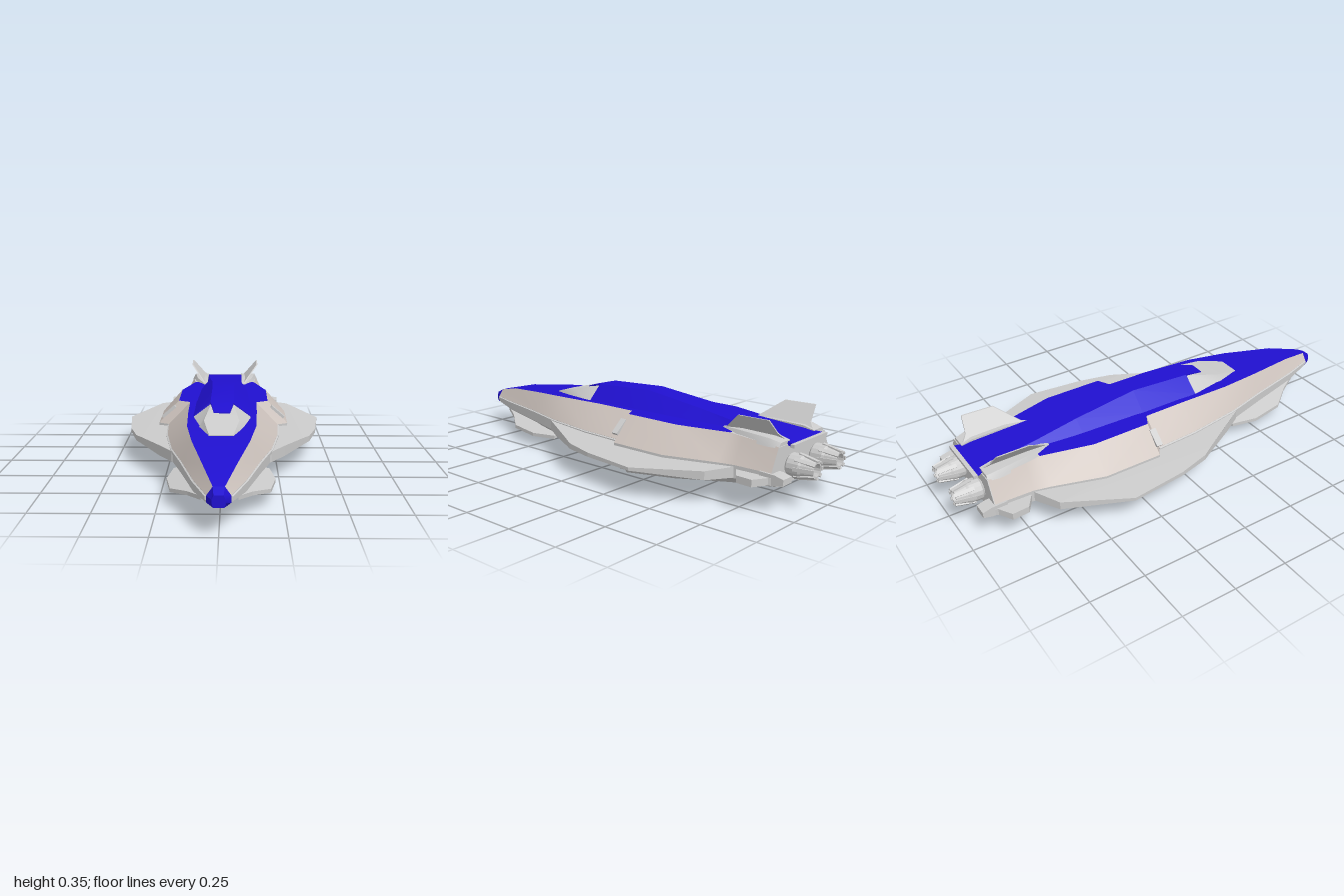
import * as THREE from 'three';
import { toCreasedNormals } from 'three/addons/utils/BufferGeometryUtils.js';

const mat = (color, flatShading = false) =>
  new THREE.MeshStandardMaterial({ color, flatShading, side: THREE.DoubleSide });

// Joins cross-sections (front to back, points counter-clockwise seen from the front)
function loft(rows, { closed = false, caps = false } = {}) {
  const pos = [];
  const tri = (...pts) => pts.forEach((p) => pos.push(...p));
  for (let i = 0; i < rows.length - 1; i++) {
    const n = rows[i].length;
    for (let j = 0; j < (closed ? n : n - 1); j++) {
      const k = (j + 1) % n;
      const a = rows[i][j], b = rows[i][k], c = rows[i + 1][j], d = rows[i + 1][k];
      tri(a, c, b);
      tri(b, c, d);
    }
  }
  if (caps) {
    const f = rows[0], e = rows[rows.length - 1];
    for (let j = 1; j < f.length - 1; j++) {
      tri(f[0], f[j], f[j + 1]);
      tri(e[0], e[j + 1], e[j]);
    }
  }
  const g = new THREE.BufferGeometry();
  g.setAttribute('position', new THREE.Float32BufferAttribute(pos, 3));
  return toCreasedNormals(g, 0.45);
}

// Four-cornered section, symmetric about x = 0
const trapezoid = ([z, bw, by, tw, ty]) => [[-bw, by, z], [bw, by, z], [tw, ty, z], [-tw, ty, z]];

// Thin plate from an outline, then each vertex is moved by a rule
function plate(points, rule, upright = false) {
  const shape = new THREE.Shape(points.map((p) => new THREE.Vector2(...p)));
  const g = new THREE.ExtrudeGeometry(shape, { depth: 1, bevelEnabled: false });
  const p = g.attributes.position;
  for (let i = 0; i < p.count; i++) p.setXYZ(i, ...rule(p.getX(i), p.getY(i), p.getZ(i) - 0.5));
  // both rules below swap axes, so reverse triangles where the swap mirrors the plate
  if (!upright) {
    for (let i = 0; i < p.count; i += 3) {
      const a = new THREE.Vector3().fromBufferAttribute(p, i + 1);
      const b = new THREE.Vector3().fromBufferAttribute(p, i + 2);
      p.setXYZ(i + 1, b.x, b.y, b.z);
      p.setXYZ(i + 2, a.x, a.y, a.z);
    }
  }
  g.computeVertexNormals();
  return g;
}

export function createModel() {
  const model = new THREE.Group();
  const grey = mat(0xcccccc), flatGrey = mat(0xcccccc, true);
  const tan = mat(0xcfc5bf), blue = mat(0x2010d0);
  const add = (name, geometry, material, parent = model) => {
    const m = new THREE.Mesh(geometry, material);
    m.name = name;
    parent.add(m);
    return m;
  };

  // Hull stations: z, half width, deck half width, deck y, keel half width, keel y, band low y, band high y
  const hull = [
    [0.96, 0.045, 0.022, 0.178, 0.03, 0.106, 0.118, 0.145],
    [0.8, 0.1, 0.065, 0.215, 0.055, 0.085, 0.108, 0.152],
    [0.55, 0.16, 0.118, 0.24, 0.09, 0.055, 0.103, 0.155],
    [0.35, 0.213, 0.147, 0.253, 0.13, 0.025, 0.1, 0.155],
    [0.1, 0.25, 0.155, 0.262, 0.165, 0.002, 0.096, 0.155],
    [-0.1, 0.26, 0.157, 0.263, 0.18, 0, 0.095, 0.155],
    [-0.13, 0.308, 0.212, 0.264, 0.225, 0, 0.095, 0.155],
    [-0.4, 0.308, 0.212, 0.264, 0.225, 0.033, 0.095, 0.155],
    [-0.63, 0.238, 0.155, 0.262, 0.19, 0.062, 0.098, 0.155],
    [-0.7, 0.222, 0.165, 0.26, 0.18, 0.07, 0.1, 0.155],
    [-0.87, 0.216, 0.17, 0.25, 0.175, 0.09, 0.11, 0.155],
  ];
  add('lowerHull', loft(hull.map(([z, w, , , kw, ky, lo, hi]) =>
    [[-w, hi, z], [-w, lo, z], [-kw, ky, z], [kw, ky, z], [w, lo, z], [w, hi, z]])), grey);
  const deck = hull.map(([z, , tw, ty]) => [[tw, ty, z], [-tw, ty, z]]);
  add('deck', loft(deck.slice(0, 9)), blue);
  add('rearDeck', loft(deck.slice(8)), grey);
  const outline = ([z, w, tw, ty, kw, ky, lo, hi]) =>
    [[-w, hi, z], [-w, lo, z], [-kw, ky, z], [kw, ky, z], [w, lo, z], [w, hi, z], [tw, ty, z], [-tw, ty, z]];
  const tip = [[-0.025, 0.14], [-0.025, 0.128], [-0.02, 0.112], [0.02, 0.112],
    [0.025, 0.128], [0.025, 0.14], [0.018, 0.158], [-0.018, 0.158]].map(([x, y]) => [x, y, 1]);
  add('noseCap', loft([tip, outline(hull[0])], { closed: true, caps: true }), blue);
  const stern = outline(hull[hull.length - 1]);
  add('sternWall', loft([stern, stern.map(([x, y, z]) => [x, y, z - 0.004])], { closed: true, caps: true }), grey);

  // Raised spine, canopy and rear lip
  add('spine', loft([
    [0.29, 0.035, 0.27, 0.035, 0.3], [0.2, 0.052, 0.265, 0.05, 0.323],
    [0.19, 0.128, 0.26, 0.052, 0.324], [-0.1, 0.13, 0.26, 0.05, 0.34],
    [-0.4, 0.12, 0.26, 0.06, 0.308], [-0.6, 0.1, 0.258, 0.075, 0.285],
    [-0.83, 0.1, 0.25, 0.09, 0.266], [-0.9, 0.12, 0.245, 0.118, 0.256],
  ].map(trapezoid), { closed: true, caps: true }), blue);
  add('canopy', loft([
    [0.485, 0.052, 0.24, 0.05, 0.248], [0.36, 0.1, 0.245, 0.075, 0.28],
    [0.2, 0.13, 0.255, 0.05, 0.316], [0.185, 0.13, 0.255, 0.05, 0.316],
  ].map(trapezoid), { closed: true, caps: true }), grey);
  add('rearLip', new THREE.BoxGeometry(0.25, 0.014, 0.018), grey).position.set(0, 0.25, -0.903);

  const wingOutline = [[0.18, 0.4], [0.215, 0.37], [0.275, 0.27], [0.37, 0.1], [0.4, 0.05], [0.44, -0.1],
    [0.47, -0.36], [0.335, -0.64], [0.22, -0.7], [0.15, -0.6]];
  const tailOutline = [[0.15, -0.71], [0.22, -0.71], [0.285, -0.755], [0.29, -0.83], [0.23, -0.865],
    [0.205, -0.92], [0.19, -0.9], [0.15, -0.86]];
  const canardOutline = [[0.07, 0.85], [0.125, 0.75], [0.2, 0.65], [0.225, 0.49], [0.205, 0.36], [0.15, 0.36]];
  const finOutline = [[-0.57, 0.262], [-0.68, 0.347], [-0.825, 0.35], [-0.835, 0.29], [-0.87, 0.255]];
  const taper = (x) => 0.046 - Math.max(0, x - 0.28) * 0.17;

  // Everything paired: built on the left, mirrored to the right
  for (const side of [1, -1]) {
    const half = new THREE.Group();
    half.name = side > 0 ? 'leftSide' : 'rightSide';
    half.scale.x = side;
    model.add(half);

    add('upperSide', loft(hull.map(([z, w, tw, ty, , , , hi]) => [[w, hi, z], [tw, ty, z]])), tan);
    half.add(model.children.pop());

    add('wing', plate(wingOutline, (x, y, t) => [x, 0.125 + t * taper(x), y]), flatGrey, half);
    add('tailPlane', plate(tailOutline, (x, y, t) => [x, 0.125 + t * 0.03, y]), flatGrey, half);
    add('canard', plate(canardOutline, (x, y, t) => [x, 0.118 - x * 0.27 + t * 0.016, y]), flatGrey, half);
    add('fin', plate(finOutline, (z, y, t) => [0.115 + (y - 0.28) * 0.85 + t * 0.007, y, z], true), flatGrey, half);

    // Rail along the edge of the forward hull
    add('sideRail', loft(hull.slice(0, 6).map(([z, w, , , , , , hi]) =>
      [[w - 0.01, hi - 0.022, z], [w + 0.006, hi - 0.016, z], [w + 0.006, hi - 0.004, z], [w - 0.01, hi + 0.004, z]]),
    { closed: true, caps: true }), grey, half);

    // Fin housing on the rear deck
    add('finHousing', loft([[-0.56, 0.12, 0.01], [-0.66, 0.16, 0.022], [-0.82, 0.178, 0.02], [-0.87, 0.17, 0.008]]
      .map(([z, x, h]) => [[x, 0.245, z], [x - 0.015, 0.256 + h, z], [0.09, 0.256 + h, z], [0.09, 0.245, z]]),
    { closed: true, caps: true }), grey, half);

    // Slotted vents on the bevels just behind the shoulder step
    for (const [y, x, tilt] of [[0.214, 0.259, 0.86], [0.048, 0.268, -0.84]]) {
      const vent = add('vent', new THREE.BoxGeometry(0.012, 0.08, 0.03), flatGrey, half);
      vent.position.set(x, y, -0.118);
      vent.rotation.z = tilt;
    }

    // Rear corner pod
    add('cornerPod', loft([[-0.82, 0.05], [-0.89, 0.045], [-0.93, 0.025]].map(([z, h]) =>
      [[0.165, 0.132 - h / 2, z], [0.225, 0.132 - h / 2, z], [0.225, 0.132 + h / 2, z], [0.165, 0.132 + h / 2, z]]),
    { closed: true, caps: true }), grey, half);

    // Engine: nozzle shell with raised petals
    const engine = new THREE.Group();
    engine.name = 'engine';
    engine.position.set(0.09, 0.165, 0);
    half.add(engine);
    const profile = [[0.04, 0.84], [0.04, 0.875], [0.05, 0.885], [0.05, 0.935], [0.045, 0.945],
      [0.033, 0.995], [0.026, 0.995], [0.03, 0.94], [0, 0.93]].map((p) => new THREE.Vector2(...p));
    const nozzle = new THREE.LatheGeometry(profile, 16).rotateX(-Math.PI / 2);
    add('nozzle', nozzle, flatGrey, engine);
    for (let i = 0; i < 8; i++) {
      const arm = new THREE.Group();
      arm.rotation.z = (i / 8) * Math.PI * 2;
      engine.add(arm);
      const petal = add('petal', new THREE.BoxGeometry(0.015, 0.007, 0.085), flatGrey, arm);
      petal.position.set(0, 0.043, -0.958);
      petal.rotation.x = -0.2;
    }
  }
  return model;
}
